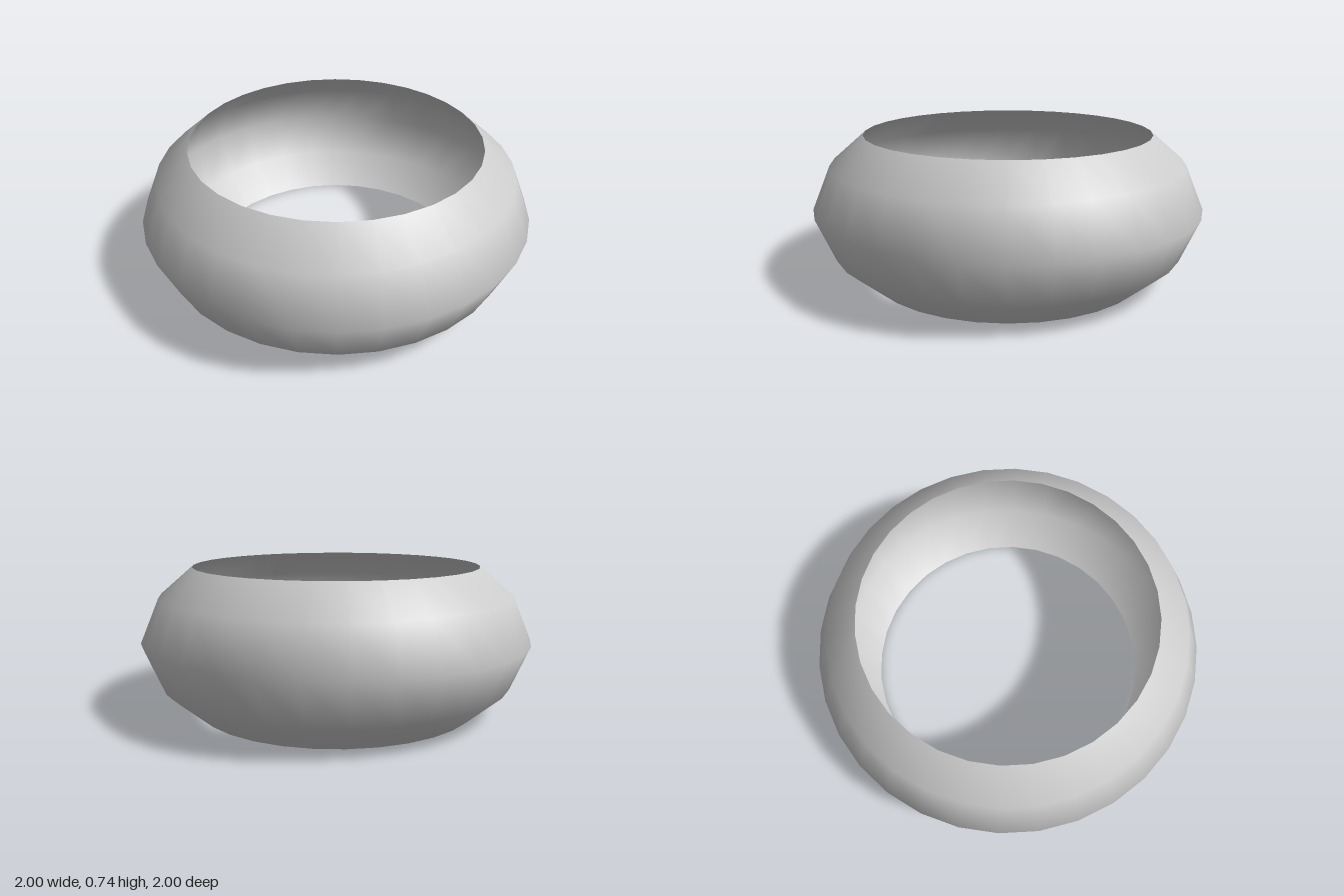
import * as THREE from 'three';

export function createModel() {
  const group = new THREE.Group();
  group.name = 'ring';

  // Open bulging band: thin shell, no caps, widest at mid height
  const profile = [
    [0.737, 0], [0.907, 0.147], [1, 0.369], [0.907, 0.591], [0.737, 0.738],
  ].map(([r, y]) => new THREE.Vector2(r, y));

  const band = new THREE.Mesh(
    new THREE.LatheGeometry(profile, 32),
    new THREE.MeshStandardMaterial({ color: 0xcccccc, side: THREE.DoubleSide }),
  );
  band.name = 'band';
  group.add(band);
  return group;
}
